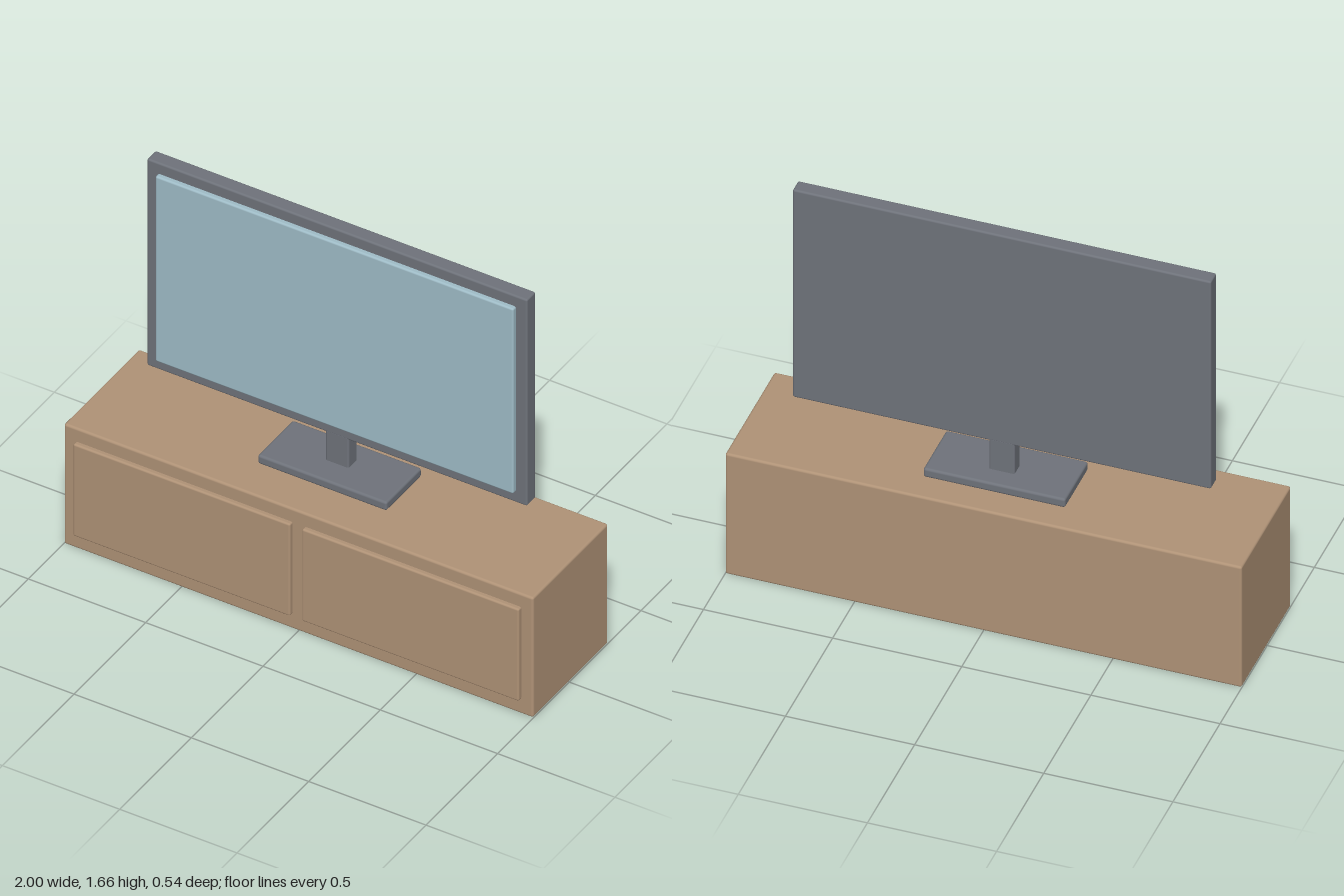
import * as THREE from 'three';
import { RoundedBoxGeometry } from 'three/addons/geometries/RoundedBoxGeometry.js';

const wood = new THREE.MeshStandardMaterial({ color: 0xb09377 });
wood.name = 'wood';
const darkMetal = new THREE.MeshStandardMaterial({ color: 0x6f737b });
darkMetal.name = 'darkMetal';
const glass = new THREE.MeshStandardMaterial({ color: 0xa0bdc8 });
glass.name = 'glass';

// Softly bevelled block given by its minimum and maximum corners
function block(name, material, [x0, y0, z0], [x1, y1, z1], bevel = 0.008) {
  const geometry = new RoundedBoxGeometry(x1 - x0, y1 - y0, z1 - z0, 2, bevel);
  const mesh = new THREE.Mesh(geometry, material);
  mesh.name = name;
  mesh.position.set((x0 + x1) / 2, (y0 + y1) / 2, (z0 + z1) / 2);
  return mesh;
}

export function createModel() {
  const model = new THREE.Group();
  model.name = 'televisionOnCabinet';

  // Low cabinet with two raised door panels
  const cabinet = new THREE.Group();
  cabinet.name = 'cabinet';
  cabinet.add(block('cabinetBody', wood, [-1, 0, -0.272], [1, 0.55, 0.253], 0.01));
  cabinet.add(block('leftDoor', wood, [0.025, 0.068, 0.225], [0.95, 0.49, 0.272]));
  cabinet.add(block('rightDoor', wood, [-0.95, 0.068, 0.225], [-0.025, 0.49, 0.272]));

  // Television: foot, neck, casing and screen
  const television = new THREE.Group();
  television.name = 'television';
  television.add(block('standFoot', darkMetal, [-0.275, 0.55, -0.158], [0.275, 0.59, 0.089], 0.01));
  television.add(block('standNeck', darkMetal, [-0.05, 0.58, -0.077], [0.05, 0.73, -0.016]));
  television.add(block('casing', darkMetal, [-0.81, 0.718, -0.077], [0.81, 1.665, -0.016]));
  television.add(block('screen', glass, [-0.763, 0.768, -0.045], [0.763, 1.617, 0.004]));

  model.add(cabinet, television);
  return model;
}
